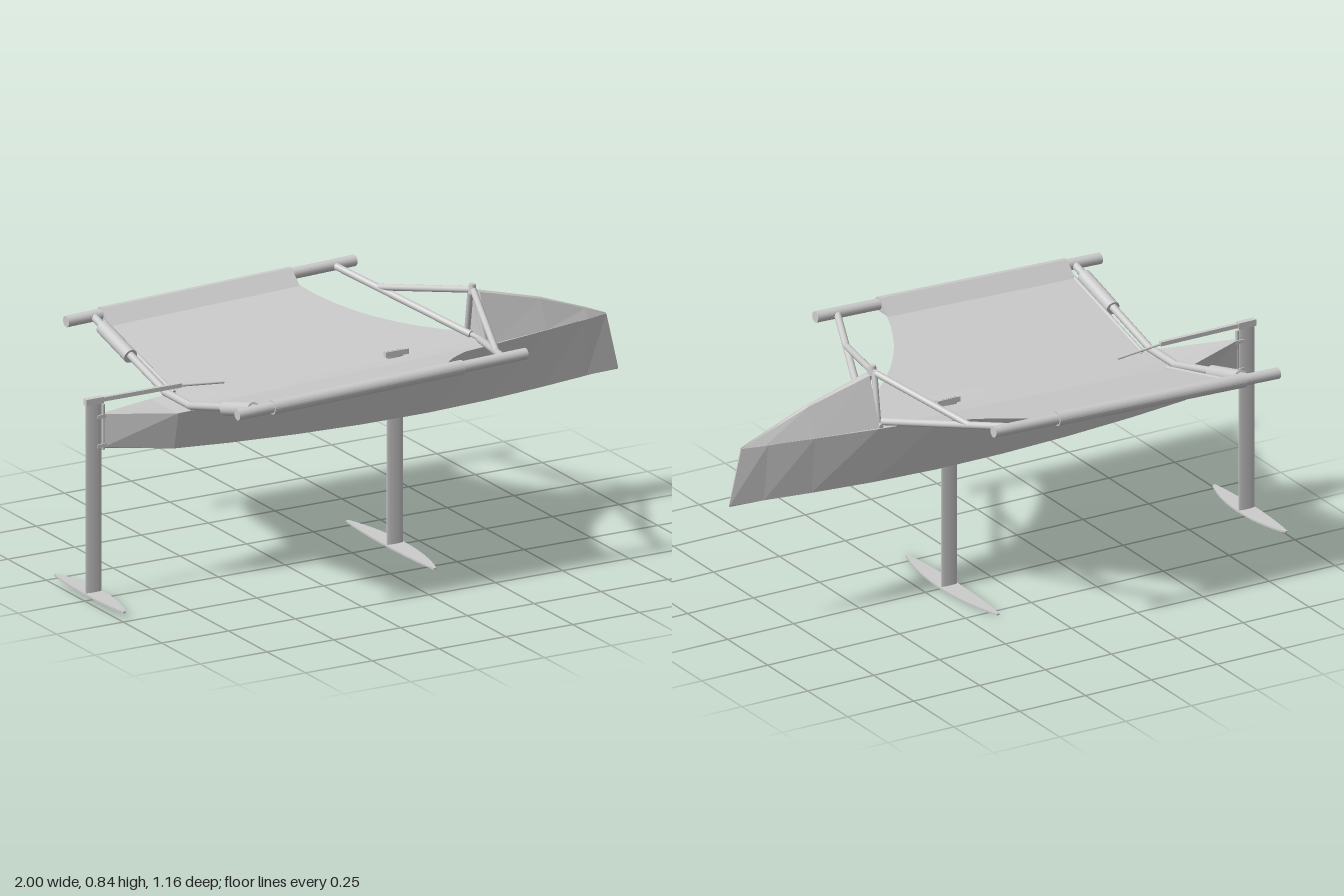
import * as THREE from 'three';

const mat = new THREE.MeshStandardMaterial({ color: 0xcccccc });
const flat = new THREE.MeshStandardMaterial({ color: 0xcccccc, flatShading: true });
const thin = new THREE.MeshStandardMaterial({ color: 0xcccccc, side: THREE.DoubleSide });

export function createModel() {
  const model = new THREE.Group();
  model.name = 'hydrofoilDinghy';

  const add = (name, geometry, material = mat) => {
    const mesh = new THREE.Mesh(geometry, material);
    mesh.name = name;
    model.add(mesh);
    return mesh;
  };
  const box = (name, w, h, d, x, y, z) =>
    add(name, new THREE.BoxGeometry(w, h, d)).position.set(x, y, z);

  // Round bar between two points
  const bar = (name, a, b, r, r2 = r) => {
    const p = new THREE.Vector3(...a), q = new THREE.Vector3(...b);
    const m = add(name, new THREE.CylinderGeometry(r2, r, p.distanceTo(q), 20));
    m.position.copy(p).lerp(q, 0.5);
    m.quaternion.setFromUnitVectors(new THREE.Vector3(0, 1, 0), q.sub(p).normalize());
  };

  // Skin over cross-sections that advance along +x (ring order: top, +z, bottom, -z)
  const loft = (name, rings) => {
    const pos = [], n = rings[0].length;
    const tri = (...pts) => pts.forEach((p) => pos.push(...p));
    for (let i = 0; i < rings.length - 1; i++)
      for (let j = 0; j < n; j++) {
        const k = (j + 1) % n;
        const [a, b, c, d] = [rings[i][j], rings[i][k], rings[i + 1][k], rings[i + 1][j]];
        tri(a, b, d);
        tri(b, c, d);
      }
    const first = rings[0], last = rings[rings.length - 1];
    for (let j = 1; j < n - 1; j++) {
      tri(first[0], first[j + 1], first[j]);
      tri(last[0], last[j], last[j + 1]);
    }
    const g = new THREE.BufferGeometry();
    g.setAttribute('position', new THREE.Float32BufferAttribute(pos, 3));
    g.computeVertexNormals();
    return add(name, g, flat);
  };

  // Hull: [x, keel y, sheer y, half width at sheer, half width at bottom, stem rake]
  const section = ([x, keel, sheer, top, bot, rake = 0]) => [
    [x - rake, sheer - 0.06 * top, 0], [x - rake, sheer, top], [x, keel + 0.004, bot],
    [x, keel, 0], [x, keel + 0.004, -bot], [x - rake, sheer, -top],
  ];
  loft('hull', [
    [-0.7, 0.488, 0.62, 0.088, 0.06],
    [-0.5, 0.476, 0.629, 0.1, 0.066],
    [-0.25, 0.465, 0.638, 0.109, 0.07],
    [0, 0.458, 0.646, 0.11, 0.07],
    [0.25, 0.455, 0.653, 0.104, 0.064],
    [0.48, 0.456, 0.659, 0.084, 0.05],
    [0.7, 0.46, 0.662, 0.05, 0.03],
    [0.87, 0.465, 0.664, 0.022, 0.013, 0.01],
    [0.995, 0.468, 0.665, 0.003, 0.002, 0.045],
  ].map(section));

  // Tapered stern that carries the rudder
  loft('sternGantry', [
    [-0.93, 0.515, 0.632, 0.006, 0.004],
    [-0.7, 0.488, 0.62, 0.088, 0.06],
  ].map(section));

  // Raised foredeck with a narrow ridge
  loft('foredeck', [
    [0.47, 0.825, 0.657, 0.014, 0.078],
    [0.7, 0.763, 0.661, 0.008, 0.048],
    [0.87, 0.7, 0.663, 0.004, 0.021],
    [0.95, 0.667, 0.664, 0.002, 0.004],
  ].map(([x, top, base, w, b]) => [
    [x, top, 0], [x, top - 0.005, w], [x, base, b], [x, base, -b], [x, top - 0.005, -w],
  ]));

  // Vertical foil struts with an elliptical section
  const strut = (name, x, y0, y1) => {
    const m = add(name, new THREE.CylinderGeometry(0.03, 0.03, y1 - y0, 24));
    m.scale.z = 0.16;
    m.position.set(x, (y0 + y1) / 2, 0);
  };
  strut('daggerboard', 0.16, 0.005, 0.67);
  strut('rudder', -0.968, 0.025, 0.68);
  box('daggerboardHead', 0.085, 0.018, 0.018, 0.165, 0.66, 0);

  // Horizontal lifting foils with curved leading edges
  const foil = (name, x, y, chord, half) => {
    const s = new THREE.Shape();
    s.moveTo(0, 0);
    s.quadraticCurveTo(0, half * 0.6, chord * 0.22, half);
    s.lineTo(chord * 0.36, half);
    s.quadraticCurveTo(chord, half * 0.55, chord, 0);
    s.quadraticCurveTo(chord, -half * 0.55, chord * 0.36, -half);
    s.lineTo(chord * 0.22, -half);
    s.quadraticCurveTo(0, -half * 0.6, 0, 0);
    const g = new THREE.ExtrudeGeometry(s, { depth: 0.006, bevelEnabled: false, curveSegments: 16 });
    g.rotateX(-Math.PI / 2);
    add(name, g).position.set(x, y, 0);
  };
  foil('mainFoil', 0.127, 0.003, 0.068, 0.285);
  foil('rudderFoil', -1, 0.023, 0.065, 0.226);

  // Steering gear
  box('tiller', 0.36, 0.014, 0.014, -0.82, 0.682, 0);
  bar('tillerExtension', [-0.66, 0.682, 0], [-0.48, 0.665, 0], 0.004);
  box('rudderHead', 0.065, 0.022, 0.02, -0.967, 0.681, 0);
  bar('rudderPin', [-0.932, 0.51, 0], [-0.932, 0.665, 0], 0.006);
  for (const y of [0.525, 0.625]) box('rudderBracket', 0.035, 0.012, 0.016, -0.938, y, 0);

  // Mast step on top of the front frame
  bar('mastStep', [0.45, 0.815, 0], [0.45, 0.848, 0], 0.014, 0.011);
  bar('frontCrossbar', [0.465, 0.664, -0.08], [0.465, 0.664, 0.08], 0.008);
  bar('rearCrossbar', [-0.65, 0.635, -0.09], [-0.65, 0.635, 0.09], 0.013);

  // Rail height and trampoline edges
  const railY = (x) => 0.757 + (x + 0.75) * 0.029;
  const frontEdge = new THREE.QuadraticBezierCurve(
    new THREE.Vector2(0.09, 0.51), new THREE.Vector2(0.16, 0.24), new THREE.Vector2(0.46, 0.075));

  for (const s of [1, -1]) {
    // Wing frame
    bar('wingRail', [-0.75, railY(-0.75), s * 0.556], [0.33, railY(0.33), s * 0.556], 0.019);
    bar('rearWingBeam', [-0.65, 0.635, s * 0.08], [-0.65, railY(-0.65), s * 0.55], 0.013);
    bar('rearBeamSleeve', [-0.65, 0.692, s * 0.31], [-0.65, 0.74, s * 0.49], 0.024);
    bar('trampolinePole', [-0.62, 0.63, s * 0.08], [-0.62, 0.742, s * 0.53], 0.007);
    bar('frontWingStrut', [0.25, railY(0.25), s * 0.55], [0.462, 0.664, s * 0.03], 0.012);
    bar('frontWingBrace', [0.318, 0.748, s * 0.385], [0.45, 0.826, s * 0.008], 0.011);
    bar('mastFrameLeg', [0.45, 0.832, s * 0.01], [0.465, 0.66, s * 0.06], 0.01);

    // Padded sleeve around the rail, tapering inward to the cloth
    const sleeveRing = (x) => {
      const ring = [];
      for (let i = 0; i <= 16; i++) {
        const a = -0.6 * Math.PI + (i / 16) * 1.2 * Math.PI;
        ring.push([x, railY(x) + 0.024 * Math.sin(a), s * (0.556 + 0.024 * Math.cos(a))]);
      }
      ring.push([x, railY(x) - 0.024, s * 0.495]);
      return s > 0 ? ring.reverse() : ring;
    };
    loft('railSleeve', [sleeveRing(-0.62), sleeveRing(0.09)]);

    // Trampoline with a hollowed front edge
    const cloth = new THREE.PlaneGeometry(1, 1, 12, 24);
    const p = cloth.attributes.position;
    for (let i = 0; i < p.count; i++) {
      const t = p.getY(i) + 0.5;
      const edge = frontEdge.getPoint(t);
      const x = -0.62 + (p.getX(i) + 0.5) * (edge.x + 0.62);
      const inner = 0.648 + x * 0.032;
      const k = (edge.y - 0.075) / 0.435;
      p.setXYZ(i, x, inner + (railY(x) - 0.02 - inner) * k, s * edge.y);
    }
    if (s > 0) cloth.index.array.reverse();
    cloth.computeVertexNormals();
    add('trampoline', cloth, thin);
  }
  return model;
}
